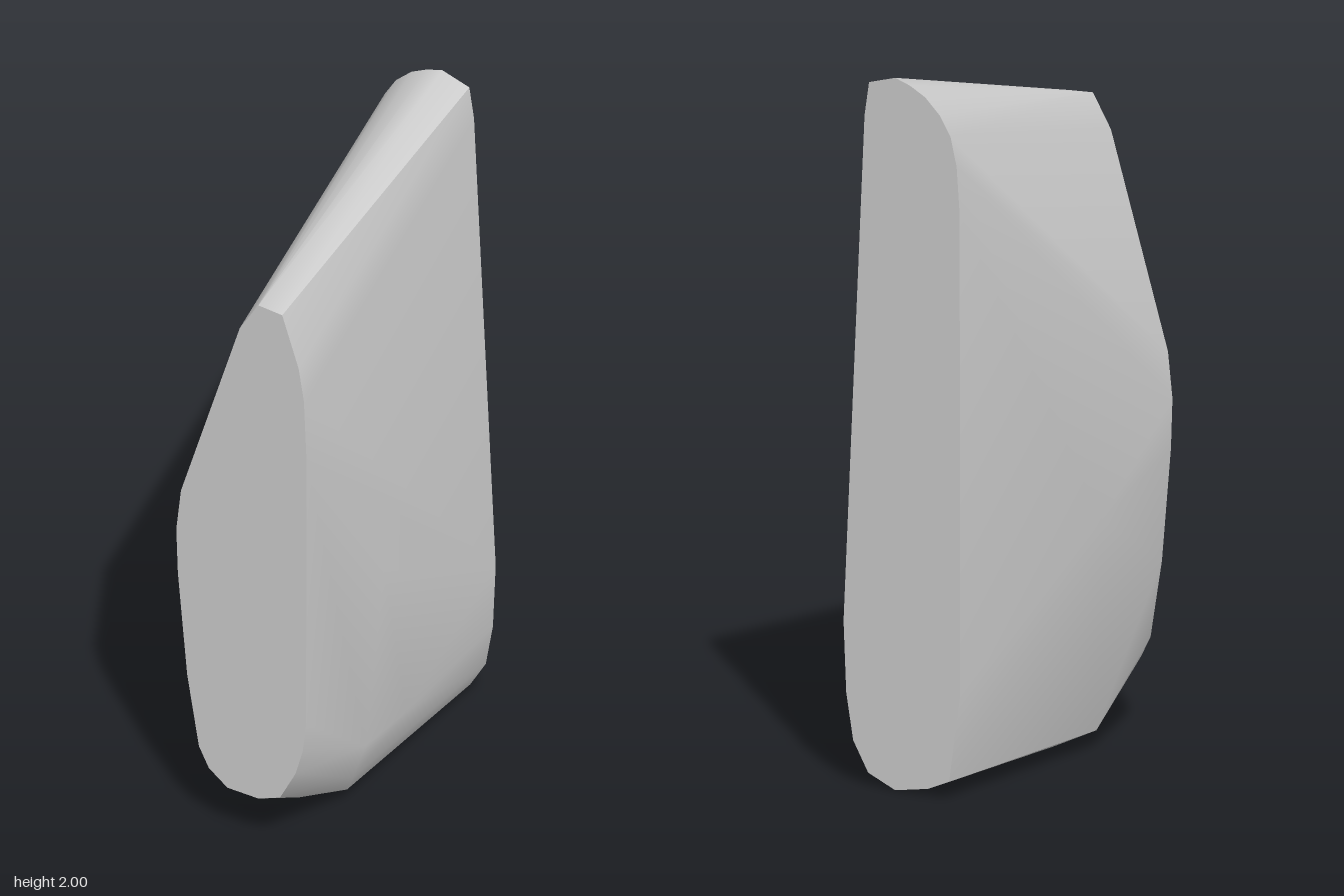
import * as THREE from 'three';
import { ConvexGeometry } from 'three/addons/geometries/ConvexGeometry.js';
import { toCreasedNormals } from 'three/addons/utils/BufferGeometryUtils.js';

const HALF_DEPTH = 0.472;

// Outline of the flat front end, as [x, y]
const frontOutline = [
  [0.06, 1.76], [0.137, 1.755], [0.19, 1.6], [0.207, 1.5], [0.216, 1.3],
  [0.214, 0.45], [0.203, 0.36], [0.18, 0.28], [0.13, 0.185], [0.06, 0.157],
  [-0.04, 0.157], [-0.1, 0.2], [-0.132, 0.26], [-0.17, 0.48], [-0.2, 0.8],
  [-0.205, 0.94], [-0.19, 1.07], [0, 1.665],
];

// Outline of the flat back end, as [x, y]
const backOutline = [
  [0.05, 2], [0, 1.985], [-0.05, 1.96], [-0.1, 1.915], [-0.135, 1.86],
  [-0.155, 1.78], [-0.165, 1.65], [-0.167, 0.3], [-0.13, 0.05], [-0.06, 0.02],
  [0.05, 0], [0.14, 0.036], [0.19, 0.12], [0.213, 0.25], [0.222, 0.45],
  [0.152, 1.88], [0.137, 1.975],
];

// Bulging sides and upturned bottom between the two ends, as [x, y, z]
const bulge = [
  [-0.235, 0.68, 0.1],
  [0.228, 0.75, 0.1], [0.235, 0.24, 0], [0.233, 0.24, 0.2], [0.19, 0.12, 0.2],
  [0.14, 0.037, 0.15], [0.05, 0, 0.03], [0.05, 0.035, 0.25],
  [-0.07, 0.02, 0.1], [-0.13, 0.05, 0.22],
];

export function createModel() {
  const model = new THREE.Group();
  model.name = 'taperedBlock';
  const gray = new THREE.MeshStandardMaterial({ color: 0xcccccc });
  gray.name = 'gray';

  // Work at ten times size so close corners stay separate when smoothing
  const scale = 10;
  const points = [
    ...frontOutline.map(([x, y]) => [x, y, HALF_DEPTH]),
    ...backOutline.map(([x, y]) => [x, y, -HALF_DEPTH]),
    ...bulge,
  ].map(([x, y, z]) => new THREE.Vector3(x, y, z).multiplyScalar(scale));

  // Smooth convex skin stretched between the ends, with sharp end faces
  const skin = toCreasedNormals(new ConvexGeometry(points), THREE.MathUtils.degToRad(32));
  skin.scale(1 / scale, 1 / scale, 1 / scale);

  const body = new THREE.Mesh(skin, gray);
  body.name = 'body';
  model.add(body);
  return model;
}
